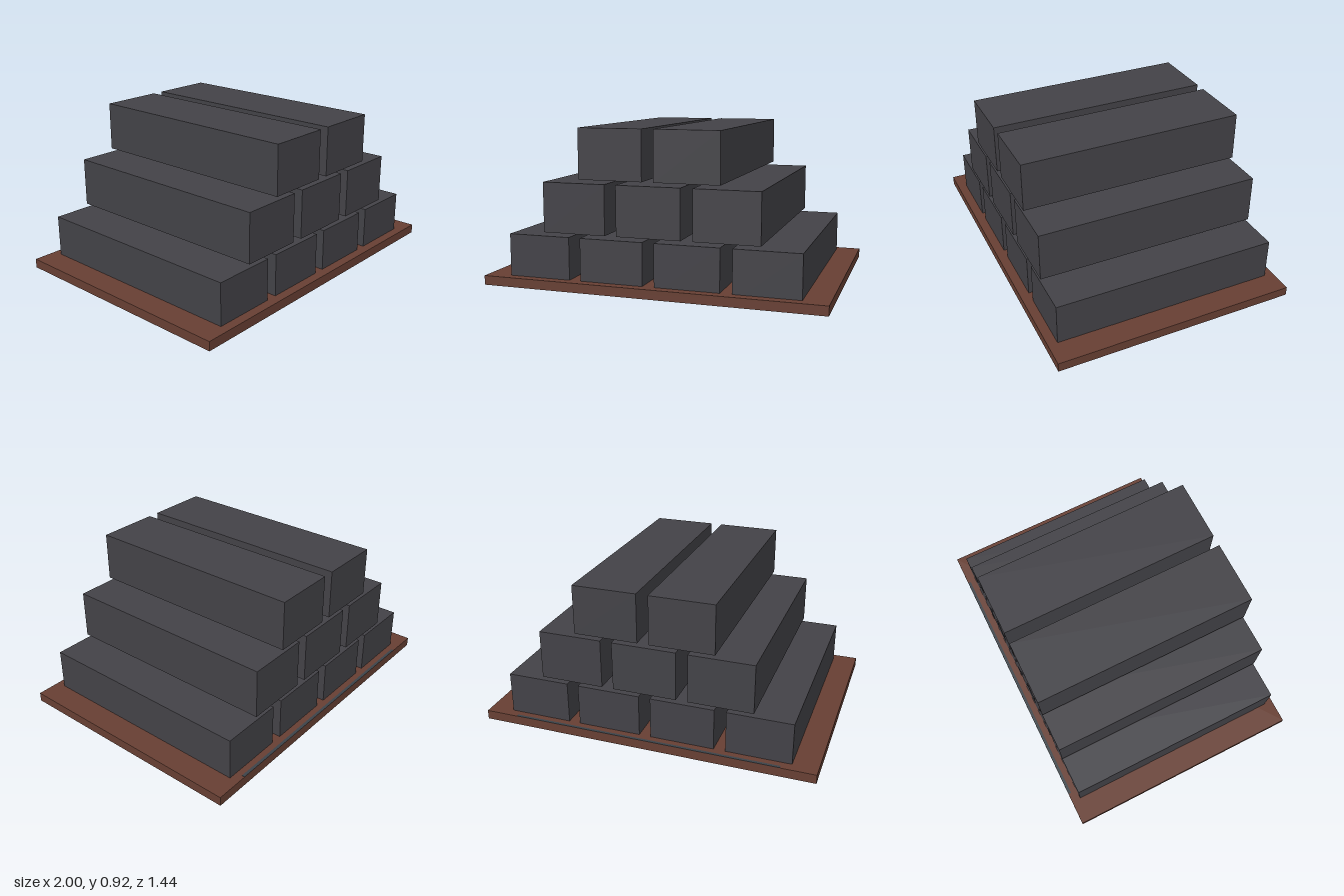
import * as THREE from 'three';

export function createModel() {
  const model = new THREE.Group();
  const ingotMaterial = new THREE.MeshStandardMaterial({ color: 0x434247 });
  ingotMaterial.name = 'charcoal';
  const boardMaterial = new THREE.MeshStandardMaterial({ color: 0x673f33 });
  boardMaterial.name = 'reddish brown';
  const slateMaterial = new THREE.MeshStandardMaterial({ color: 0x3c4349 });
  slateMaterial.name = 'slate';

  function box(name, size, position, material) {
    const mesh = new THREE.Mesh(new THREE.BoxGeometry(...size), material);
    mesh.name = name;
    mesh.position.set(...position);
    model.add(mesh);
  }

  // Wooden base board, with a thin dark strip along its back edge
  box('baseBoard', [2, 0.055, 1.444], [0, 0.0275, 0], boardMaterial);
  box('backEdgeStrip', [1.6, 0.002, 0.018], [0, 0.0555, -0.713], slateMaterial);

  // Stacked blocks: rows of four, three and two; the bottom row sits into the board
  const pitch = 0.4444;
  [4, 3, 2].forEach((count, row) => {
    for (let i = 0; i < count; i++) {
      const x = (i - (count - 1) / 2) * pitch;
      box(`block${row + 1}_${i + 1}`, [0.376, 0.289, 1.333], [x, 0.158 + row * 0.311, 0], ingotMaterial);
    }
  });

  return model;
}
